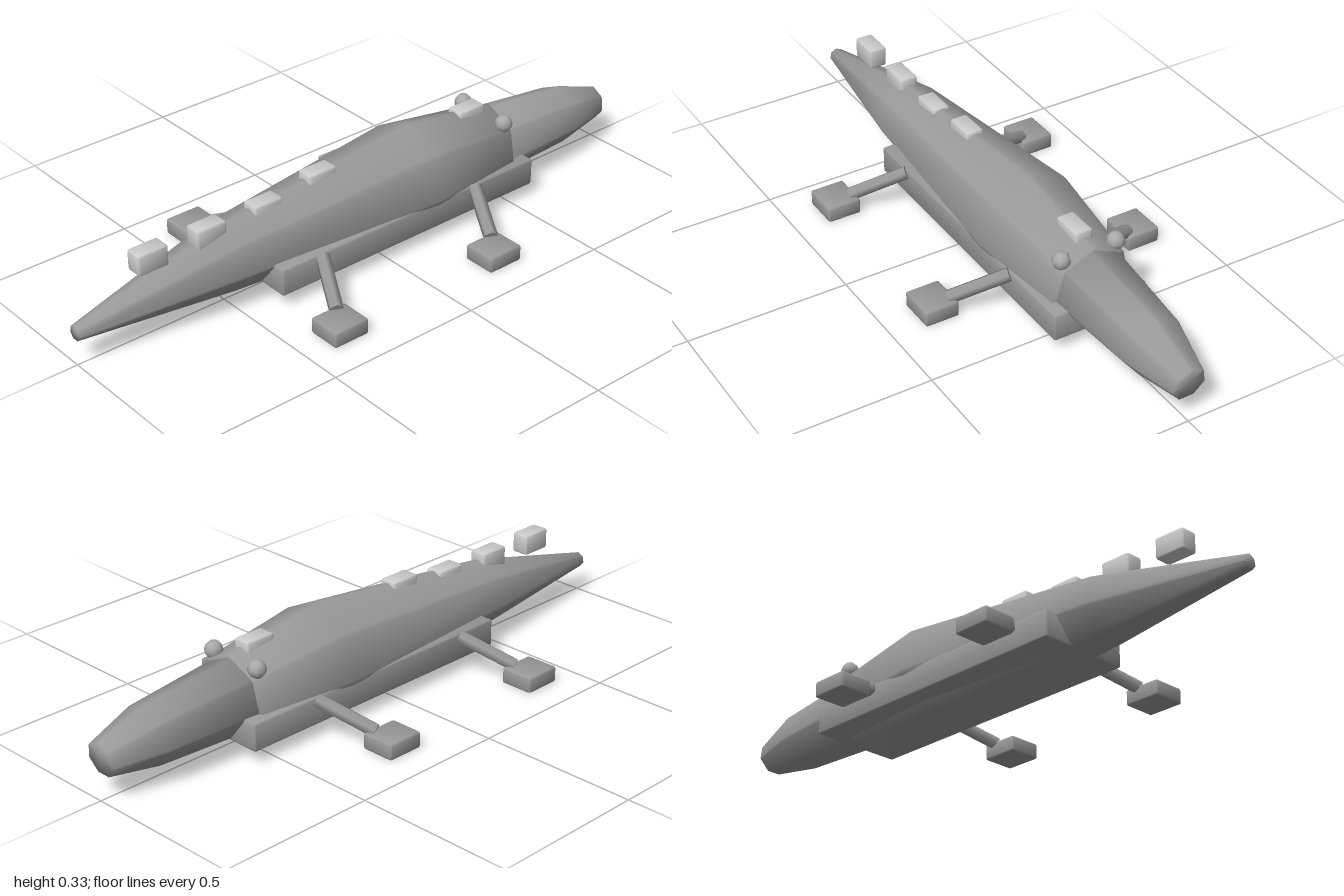
import * as THREE from 'three';
import { RoundedBoxGeometry } from 'three/addons/geometries/RoundedBoxGeometry.js';

const hide = new THREE.MeshStandardMaterial({ color: 0x999999 });
const eyeShade = new THREE.MeshStandardMaterial({ color: 0xaaaaaa });
const plateShade = new THREE.MeshStandardMaterial({ color: 0xcccccc });

function add(group, name, geometry, material, x = 0, y = 0, z = 0) {
  const mesh = new THREE.Mesh(geometry, material);
  mesh.name = name;
  mesh.position.set(x, y, z);
  group.add(mesh);
  return mesh;
}

// Bevelled box whose normals lean towards the corners, for soft shading
function softBox(w, h, d) {
  const geometry = new RoundedBoxGeometry(w, h, d, 1, 0.006);
  const { position, normal } = geometry.attributes;
  const n = new THREE.Vector3(), p = new THREE.Vector3();
  for (let i = 0; i < position.count; i++) {
    p.fromBufferAttribute(position, i);
    n.fromBufferAttribute(normal, i);
    n.x += 0.3 * Math.sign(p.x);
    n.y += 0.3 * Math.sign(p.y);
    n.z += 0.3 * Math.sign(p.z);
    n.normalize();
    normal.setXYZ(i, n.x, n.y, n.z);
  }
  return geometry;
}

// Seven-sided loft along z with bevelled edges, closed at both ends.
// Each ring is [z, centre height, radius, lean], listed from +z to -z.
function loft(rings) {
  const sides = 14, bevel = 0.04, half = Math.PI / 7;
  const scale = Math.cos(half) / Math.cos(half - bevel);
  const positions = [], radial = [], index = [];
  rings.forEach(([z, cy, r, lean = 0], k) => {
    const endward = k === 0 ? 0.7 : k === rings.length - 1 ? -0.7 : 0;
    for (let i = 0; i < sides; i++) {
      const corner = Math.floor(i / 2) * half * 2;
      const a = corner + (i % 2 ? bevel : -bevel);
      const x = Math.sin(a) * scale, y = Math.cos(a) * scale;
      positions.push(x * r, cy + y * r, z + y * lean);
      radial.push(new THREE.Vector3(Math.sin(corner), Math.cos(corner), endward));
    }
  });
  for (let k = 0; k < rings.length - 1; k++) {
    for (let i = 0; i < sides; i++) {
      const a = k * sides + i, b = k * sides + (i + 1) % sides;
      index.push(a, b, a + sides, b, b + sides, a + sides);
    }
  }
  // End caps fan out from a centre point
  const last = (rings.length - 1) * sides, front = rings.length * sides, back = front + 1;
  for (const ring of [rings[0], rings[rings.length - 1]]) positions.push(0, ring[1], ring[0]);
  for (let i = 0; i < sides; i++) {
    const next = (i + 1) % sides;
    index.push(front, next, i, back, last + i, last + next);
  }
  const geometry = new THREE.BufferGeometry();
  geometry.setAttribute('position', new THREE.Float32BufferAttribute(positions, 3));
  geometry.setIndex(index);
  geometry.computeVertexNormals();

  // Soften the shading across the edges
  const normal = geometry.attributes.normal, n = new THREE.Vector3();
  radial.forEach((direction, i) => {
    n.fromBufferAttribute(normal, i).add(direction).normalize();
    normal.setXYZ(i, n.x, n.y, n.z);
  });
  return geometry;
}

export function createModel() {
  const model = new THREE.Group();
  model.name = 'crocodile';

  // Body tapering into the tail
  add(model, 'bodyAndTail', loft([
    [1, 0.106, 0.024],
    [0.5, 0.146, 0.108, 0.005],
    [-0.19, 0.165, 0.166],
    [-0.525, 0.148, 0.131, -0.006],
  ]), hide);

  // Head and snout
  add(model, 'head', loft([
    [-0.5, 0.153, 0.119],
    [-0.83, 0.14, 0.095, -0.006],
    [-0.992, 0.124, 0.054, -0.008],
  ]), hide);

  // Flat belly block
  add(model, 'belly', softBox(0.305, 0.087, 0.98), hide, 0, 0.087, -0.088);

  // Back plates: [z, centre height]
  const plates = [[0.75, 0.247], [0.55, 0.245], [0.35, 0.245], [0.15, 0.272], [-0.435, 0.272]];
  for (const [z, y] of plates) {
    add(model, 'backPlate', softBox(0.056, 0.065, 0.1), plateShade, 0, y, z);
  }

  const up = new THREE.Vector3(0, 1, 0);
  for (const side of [1, -1]) {
    const label = side > 0 ? 'left' : 'right';

    // Eye and small bump on the back
    add(model, label + 'Eye', new THREE.SphereGeometry(0.028, 8, 6), eyeShade, side * 0.09, 0.255, -0.508);
    add(model, label + 'BackBump', new THREE.SphereGeometry(0.012, 6, 5), eyeShade, side * 0.022, 0.284, 0);

    // Legs slope out to flat feet
    for (const [end, hip, foot] of [['Front', -0.338, -0.235], ['Rear', 0.257, 0.355]]) {
      const leg = new THREE.Group();
      leg.name = label + end + 'Leg';
      const from = new THREE.Vector3(side * 0.15, 0.121, hip);
      const to = new THREE.Vector3(side * 0.306, 0.05, hip + 0.078);
      const direction = to.clone().sub(from);
      const limb = add(leg, 'limb', new THREE.CylinderGeometry(0.022, 0.022, direction.length(), 6), hide);
      limb.position.copy(from).lerp(to, 0.5);
      limb.quaternion.setFromUnitVectors(up, direction.normalize());
      add(leg, 'foot', softBox(0.108, 0.05, 0.12), hide, side * 0.345, 0.026, foot);
      model.add(leg);
    }
  }
  return model;
}
